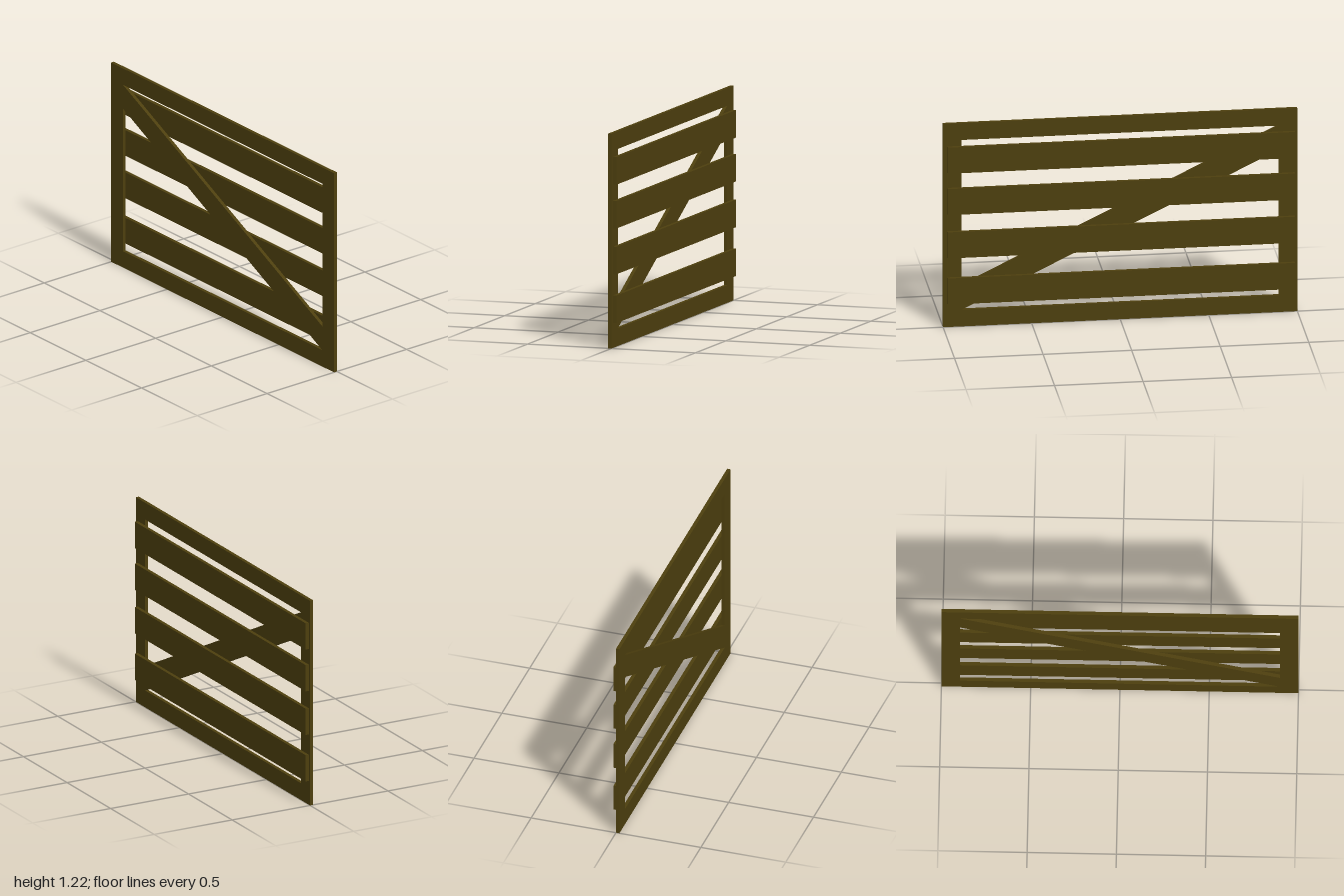
import * as THREE from 'three';

const T = 0.02; // board thickness

function polygon(points, Type = THREE.Shape) {
  return new Type(points.map(([x, y]) => new THREE.Vector2(x, y)));
}

export function createModel() {
  const gate = new THREE.Group();
  gate.name = 'slattedGate';
  const wood = new THREE.MeshStandardMaterial({ color: 0x4d3f0e });

  // Front frame: the two triangular openings leave the diagonal brace between them
  const inX = 0.895, bottom = 0.1, top = 1.115, braceHeight = 0.145;
  const outline = polygon([[-1, 0], [1, 0], [1, 1.215], [-1, 1.215]]);
  outline.holes.push(
    polygon([[-inX, top], [inX, top], [inX, bottom + braceHeight]], THREE.Path),
    polygon([[-inX, top - braceHeight], [inX, bottom], [-inX, bottom]], THREE.Path)
  );
  const frame = new THREE.Mesh(
    new THREE.ExtrudeGeometry(outline, { depth: T, bevelEnabled: false }), wood);
  frame.name = 'frameWithDiagonalBrace';
  gate.add(frame);

  // Horizontal slats fixed to the back of the frame
  const slatGeometry = new THREE.BoxGeometry(1.96, 0.156, T);
  [0.219, 0.495, 0.754, 1.002].forEach((y, i) => {
    const slat = new THREE.Mesh(slatGeometry, wood);
    slat.name = `slat${i + 1}`;
    slat.position.set(-0.005, y, -T / 2);
    gate.add(slat);
  });

  return gate;
}
